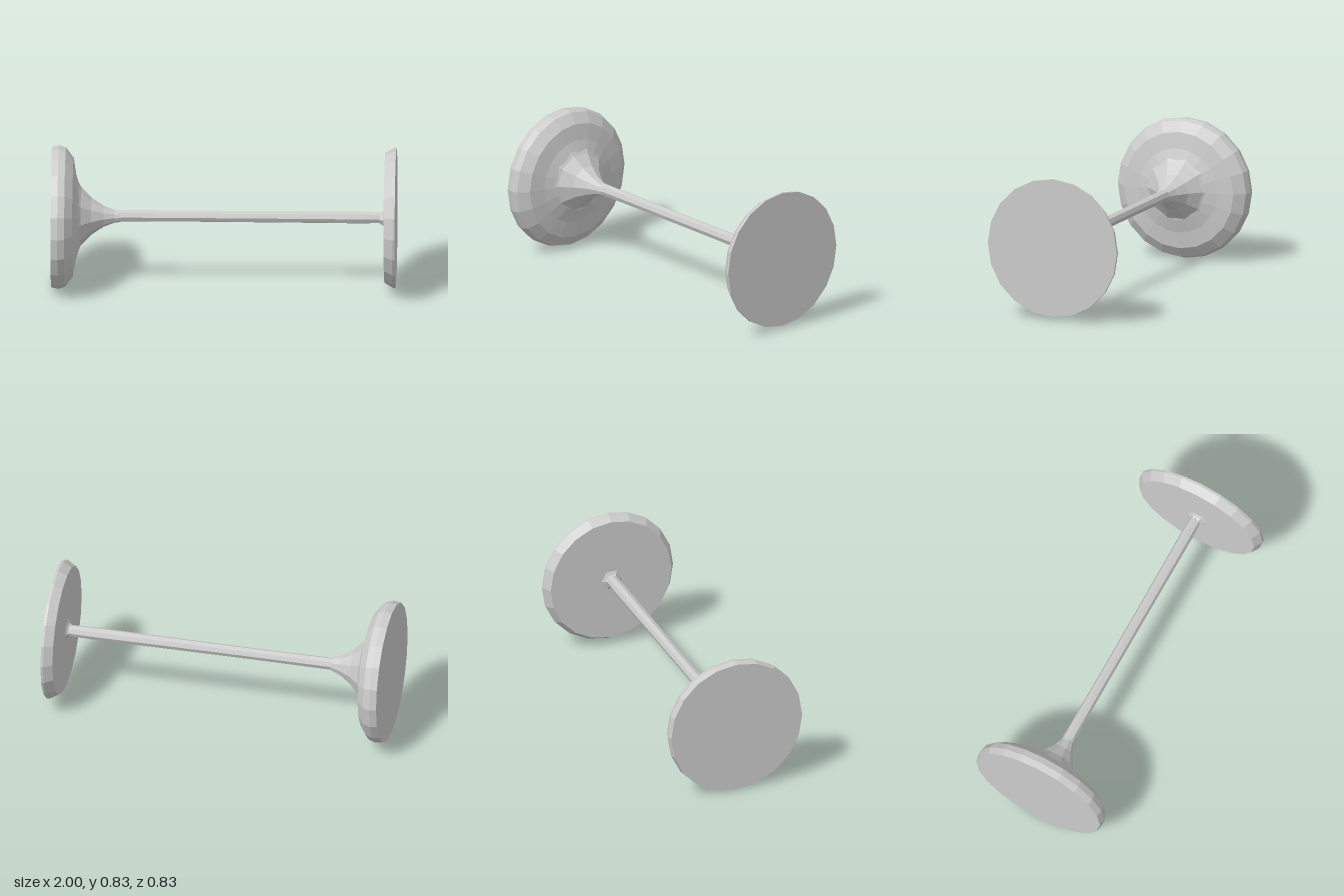
import * as THREE from 'three';

const material = new THREE.MeshStandardMaterial({ color: 0xcccccc, flatShading: true });

// Turned part around the long axis; profile is [x, radius] from -x to +x
function turned(name, profile, sides, y, z = 0) {
  const points = profile.map(([x, r]) => new THREE.Vector2(r, x));
  const geometry = new THREE.LatheGeometry(points, sides);
  geometry.rotateZ(-Math.PI / 2);
  const mesh = new THREE.Mesh(geometry, material);
  mesh.name = name;
  mesh.position.set(0, y, z);
  return mesh;
}

export function createModel() {
  const group = new THREE.Group();
  group.name = 'spindle';

  // Thick domed base with a flat outer face
  group.add(turned('baseDisc', [
    [-1, 0], [-1, 0.41], [-0.96, 0.417], [-0.92, 0.405], [-0.875, 0.345],
    [-0.86, 0.25], [-0.835, 0.17], [-0.83, 0],
  ], 20, 0.418));

  // Flared neck running from the base into the rod
  group.add(turned('flaredNeck', [
    [-0.86, 0.22], [-0.83, 0.17], [-0.77, 0.108], [-0.7, 0.062], [-0.635, 0.037], [-0.6, 0.033],
  ], 10, 0.425));

  // Long thin rod
  group.add(turned('rod', [
    [-0.65, 0.036], [-0.2, 0.034], [0.3, 0.035], [0.8, 0.037], [0.94, 0.033],
  ], 8, 0.428, -0.004));

  // Small collar where the rod meets the far disc
  group.add(turned('collar', [[0.905, 0.032], [0.925, 0.044], [0.94, 0.075]], 6, 0.425));

  // Thin far disc, flat on both sides with a tapered rim
  group.add(turned('endDisc', [
    [0.935, 0], [0.935, 0.378], [0.985, 0.408], [1, 0.408], [1, 0],
  ], 20, 0.427, -0.005));

  return group;
}
